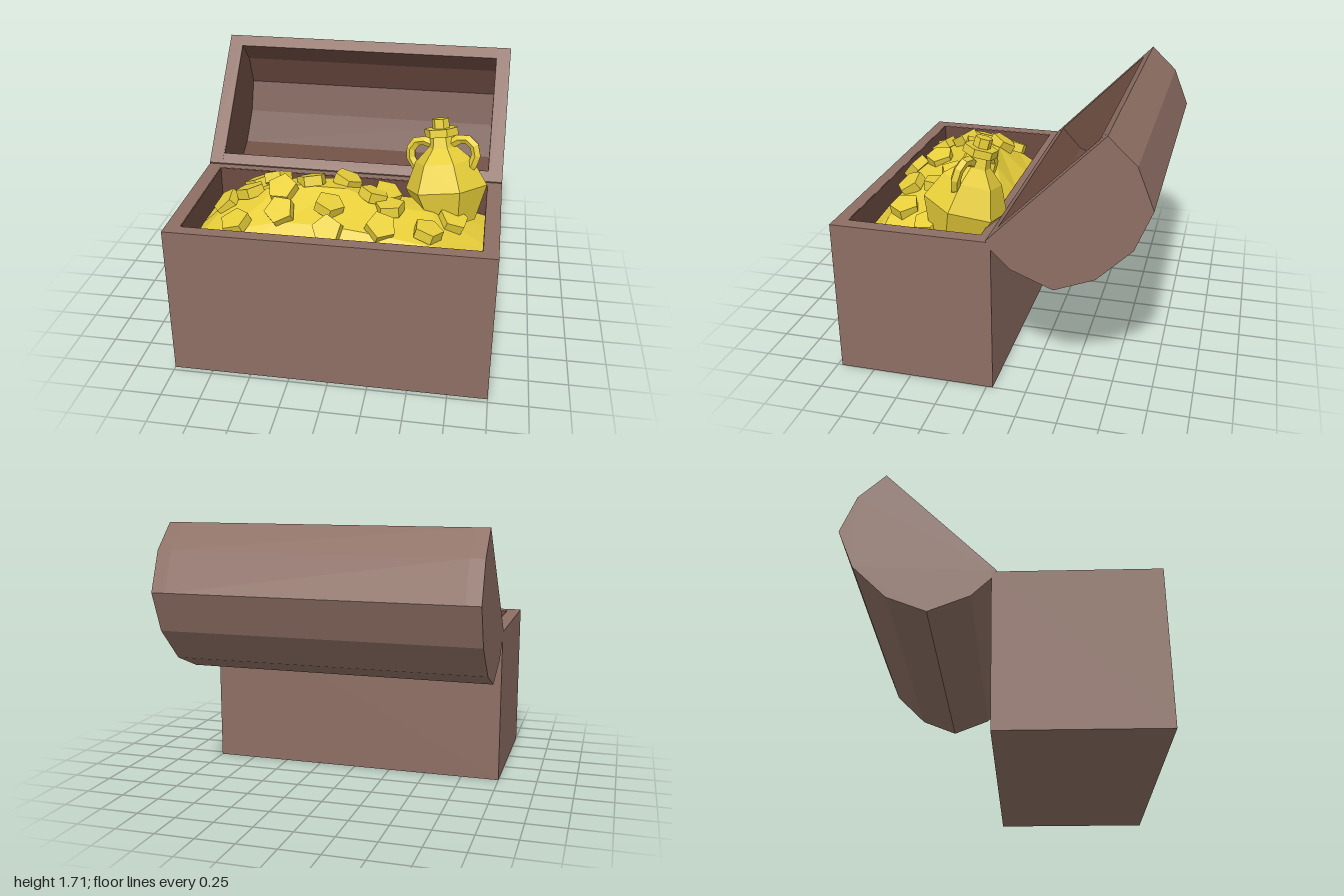
import * as THREE from 'three';

const wood = new THREE.MeshStandardMaterial({ name: 'outerWood', color: 0x8d6e63 });
const lining = new THREE.MeshStandardMaterial({ name: 'innerWood', color: 0x6d4c41 });
const gold = new THREE.MeshStandardMaterial({ name: 'gold', color: 0xe9d03a });

// Faceted mesh
function part(name, geometry, material) {
  const g = geometry.index ? geometry.toNonIndexed() : geometry;
  g.computeVertexNormals();
  const mesh = new THREE.Mesh(g, material);
  mesh.name = name;
  return mesh;
}

const toShape = (pts) => new THREE.Shape(pts.map(([a, b]) => new THREE.Vector2(a, b)));
const rect = (x, z0, z1) => [[-x, -z1], [x, -z1], [x, -z0], [-x, -z0]];

// Upright rectangular frame: outer and inner half widths and z ranges
function frame(outer, inner, y0, y1) {
  const shape = toShape(rect(...outer));
  shape.holes.push(toShape(rect(...inner)));
  const g = new THREE.ExtrudeGeometry(shape, { depth: y1 - y0, bevelEnabled: false });
  return g.rotateX(-Math.PI / 2).translate(0, y0, 0);
}

// Extrude a (z, y) profile along x, centred at cx
function alongX(pts, width, cx = 0) {
  const g = new THREE.ExtrudeGeometry(toShape(pts), { depth: width, bevelEnabled: false });
  return g.translate(0, 0, -width / 2).rotateY(-Math.PI / 2).translate(cx, 0, 0);
}

function makeBase() {
  const base = new THREE.Group();
  base.name = 'chestBase';
  base.add(part('walls', frame([1, -0.04, 0.97], [0.91, 0.04, 0.89], 0, 1), wood));
  base.add(part('wallLining', frame([0.91, 0.04, 0.89], [0.905, 0.045, 0.885], 0.09, 0.998), lining));
  base.add(part('floor', new THREE.BoxGeometry(1.82, 0.09, 0.85).translate(0, 0.045, 0.465), wood));
  return base;
}

function makeLid() {
  const lid = new THREE.Group();
  lid.name = 'lid';
  const outer = [[-0.01, 1.01], [-0.7, 1.71], [-0.87, 1.55], [-0.97, 1.3], [-0.87, 1.05],
    [-0.66, 0.84], [-0.415, 0.74], [-0.16, 0.84], [-0.035, 0.96]];
  const inner = [[-0.06, 1.06], [-0.2, 0.91], [-0.415, 0.82], [-0.62, 0.91],
    [-0.8, 1.09], [-0.885, 1.3], [-0.8, 1.51], [-0.645, 1.655]];
  // Curved shell between the two end walls
  lid.add(part('lidShell', alongX([...outer.slice(1), outer[0], ...inner], 1.82), wood));
  const skin = inner.map(([z, y]) => [z + (-0.4 - z) * 0.01, y + (1.3 - y) * 0.01]);
  lid.add(part('lidLining', alongX([...inner, ...skin.reverse()], 1.82), lining));
  for (const s of [-1, 1]) {
    lid.add(part('lidEnd', alongX(outer, 0.09, s * 0.955), wood));
    lid.add(part('lidEndLining', alongX(inner, 0.006, s * 0.907), lining));
  }
  return lid;
}

// Heap height grid, rows running from back to front
const xs = [-0.91, -0.68, -0.35, 0, 0.3, 0.6, 0.91];
const zs = [0.04, 0.25, 0.46, 0.75, 0.89];
const heights = [
  [0.78, 0.82, 0.86, 0.86, 0.84, 0.82, 0.78],
  [0.79, 0.95, 1.08, 1.07, 1.01, 0.96, 0.8],
  [0.8, 0.98, 1.13, 1.11, 1.03, 0.98, 0.8],
  [0.79, 0.93, 1.0, 1.01, 0.97, 0.91, 0.79],
  [0.78, 0.8, 0.82, 0.82, 0.82, 0.8, 0.78],
];

function heapHeight(x, z) {
  const cell = (arr, v) => {
    let i = 0;
    while (i < arr.length - 2 && v > arr[i + 1]) i++;
    return [i, (v - arr[i]) / (arr[i + 1] - arr[i])];
  };
  const [i, u] = cell(xs, x);
  const [j, v] = cell(zs, z);
  const row = (k) => heights[k][i] * (1 - u) + heights[k][i + 1] * u;
  return row(j) * (1 - v) + row(j + 1) * v;
}

function makeHeap() {
  const g = new THREE.PlaneGeometry(1, 1, 6, 4);
  for (let j = 0; j < 5; j++) {
    for (let i = 0; i < 7; i++) {
      const inside = i > 0 && i < 6 && j > 0 && j < 4 ? 0.035 : 0;
      g.attributes.position.setXYZ(j * 7 + i, xs[i] + inside * Math.sin(i * 5 + j * 3),
        heights[j][i], zs[j] + inside * Math.cos(i * 3 + j * 7));
    }
  }
  return part('goldHeap', g, gold);
}

// Five-sided coins lying along the slope of the heap
function makeCoins() {
  const coins = new THREE.Group();
  coins.name = 'coins';
  const spots = [[-0.57, 0.24], [-0.44, 0.3], [-0.72, 0.47], [-0.57, 0.46], [-0.35, 0.52],
    [-0.19, 0.41], [0.01, 0.3], [-0.6, 0.73], [-0.33, 0.68], [-0.05, 0.62], [-0.02, 0.77],
    [0.2, 0.44], [0.27, 0.34], [0.32, 0.52], [0.28, 0.7], [0.56, 0.65], [0.7, 0.44]];
  const up = new THREE.Vector3(0, 1, 0);
  spots.forEach(([x, z], k) => {
    const coin = part('coin', new THREE.CylinderGeometry(0.095, 0.095, 0.065, 5).rotateY(k * 1.7), gold);
    const d = 0.08;
    const normal = new THREE.Vector3(
      heapHeight(x - d, z) - heapHeight(x + d, z) + 0.04 * Math.sin(k * 2.3), 2 * d,
      heapHeight(x, z - d) - heapHeight(x, z + d) + 0.04 * Math.cos(k * 3.1)).normalize();
    coin.quaternion.setFromUnitVectors(up, normal);
    coin.position.set(x, heapHeight(x, z), z).addScaledVector(normal, 0.025);
    coins.add(coin);
  });
  return coins;
}

// Six-sided jug with two handles, leaning backwards
function makeJug() {
  const jug = new THREE.Group();
  jug.name = 'jug';
  const profile = [[0, -0.1], [0.17, -0.1], [0.265, 0.12], [0.185, 0.29], [0.09, 0.38], [0.075, 0.45],
    [0.108, 0.45], [0.108, 0.5], [0.055, 0.5], [0.055, 0.56], [0, 0.56]];
  const body = new THREE.LatheGeometry(profile.map(([r, h]) => new THREE.Vector2(r, h)), 6);
  jug.add(part('jugBody', body.rotateY(0.4), gold));
  for (const s of [-1, 1]) {
    const path = new THREE.CatmullRomCurve3([[0.06, 0.4], [0.15, 0.43], [0.215, 0.37], [0.21, 0.29], [0.15, 0.22]]
      .map(([x, y]) => new THREE.Vector3(s * x, y, 0)));
    jug.add(part('jugHandle', new THREE.TubeGeometry(path, 6, 0.032, 5).rotateY(-0.25), gold));
  }
  jug.position.set(0.66, 0.95, 0.25);
  jug.quaternion.setFromUnitVectors(new THREE.Vector3(0, 1, 0),
    new THREE.Vector3(-0.08, 0.54, -0.14).normalize());
  return jug;
}

export function createModel() {
  const chest = new THREE.Group();
  chest.name = 'treasureChest';
  chest.add(makeBase(), makeLid(), makeHeap(), makeCoins(), makeJug());
  return chest;
}
